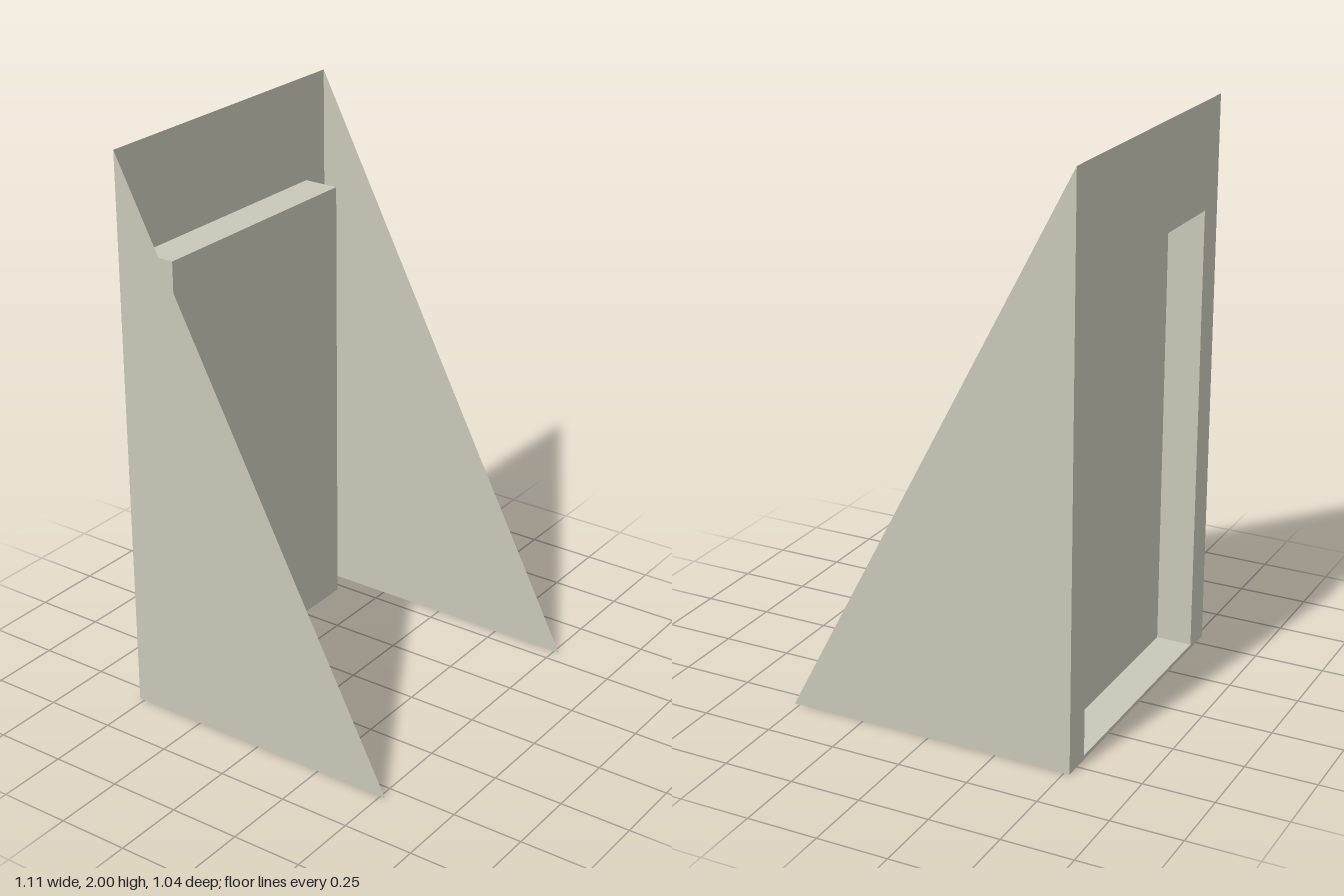
import * as THREE from 'three';

// Free-standing doorway screen made of thin sheets
const HALF_W = 0.555, HEIGHT = 2, DEPTH = 0.52;
const DOOR_W = 0.447, DOOR_BOTTOM = 0.015, DOOR_TOP = 1.625, DOOR_Z = -0.39;

export function createModel() {
  const model = new THREE.Group();
  model.name = 'doorway';
  const stone = new THREE.MeshStandardMaterial({ color: 0xc9c7b8, side: THREE.DoubleSide });
  stone.name = 'paleStone';

  const add = (name, geometry, parent = model) => {
    const mesh = new THREE.Mesh(geometry, stone);
    mesh.name = name;
    parent.add(mesh);
    return mesh;
  };
  const polygon = (points) => points.map(([x, y]) => new THREE.Vector2(x, y));
  const rectangle = (w, y0, y1) => polygon([[-w, y0], [w, y0], [w, y1], [-w, y1]]);

  // Back wall with the door opening
  const wall = new THREE.Shape(rectangle(HALF_W, 0, HEIGHT));
  wall.holes.push(new THREE.Path(rectangle(DOOR_W, DOOR_BOTTOM, DOOR_TOP).reverse()));
  add('backWall', new THREE.ShapeGeometry(wall)).position.z = -DEPTH;

  // Triangular side walls sloping down to the front
  const triangle = new THREE.Shape(polygon([[-DEPTH, 0], [DEPTH, 0], [DEPTH, HEIGHT]]));
  for (const [name, side] of [['leftSideWall', 1], ['rightSideWall', -1]]) {
    const mesh = add(name, new THREE.ShapeGeometry(triangle));
    mesh.rotation.y = Math.PI / 2;
    mesh.position.x = side * HALF_W;
  }

  // Recessed door: panel, jambs, lintel and sill, open at the back
  const door = new THREE.Group();
  door.name = 'door';
  model.add(door);
  const doorHeight = DOOR_TOP - DOOR_BOTTOM, midY = (DOOR_TOP + DOOR_BOTTOM) / 2;
  const reveal = DOOR_Z + DEPTH, midZ = (DOOR_Z - DEPTH) / 2;
  add('doorPanel', new THREE.PlaneGeometry(2 * DOOR_W, doorHeight), door).position.set(0, midY, DOOR_Z);
  for (const [name, side] of [['leftJamb', 1], ['rightJamb', -1]]) {
    const jamb = add(name, new THREE.PlaneGeometry(reveal, doorHeight), door);
    jamb.rotation.y = side * Math.PI / 2;
    jamb.position.set(side * DOOR_W, midY, midZ);
  }
  for (const [name, y, turn] of [['lintel', DOOR_TOP, -1], ['sill', DOOR_BOTTOM, 1]]) {
    const slab = add(name, new THREE.PlaneGeometry(2 * DOOR_W, reveal), door);
    slab.rotation.x = turn * Math.PI / 2;
    slab.position.set(0, y, midZ);
  }
  return model;
}
